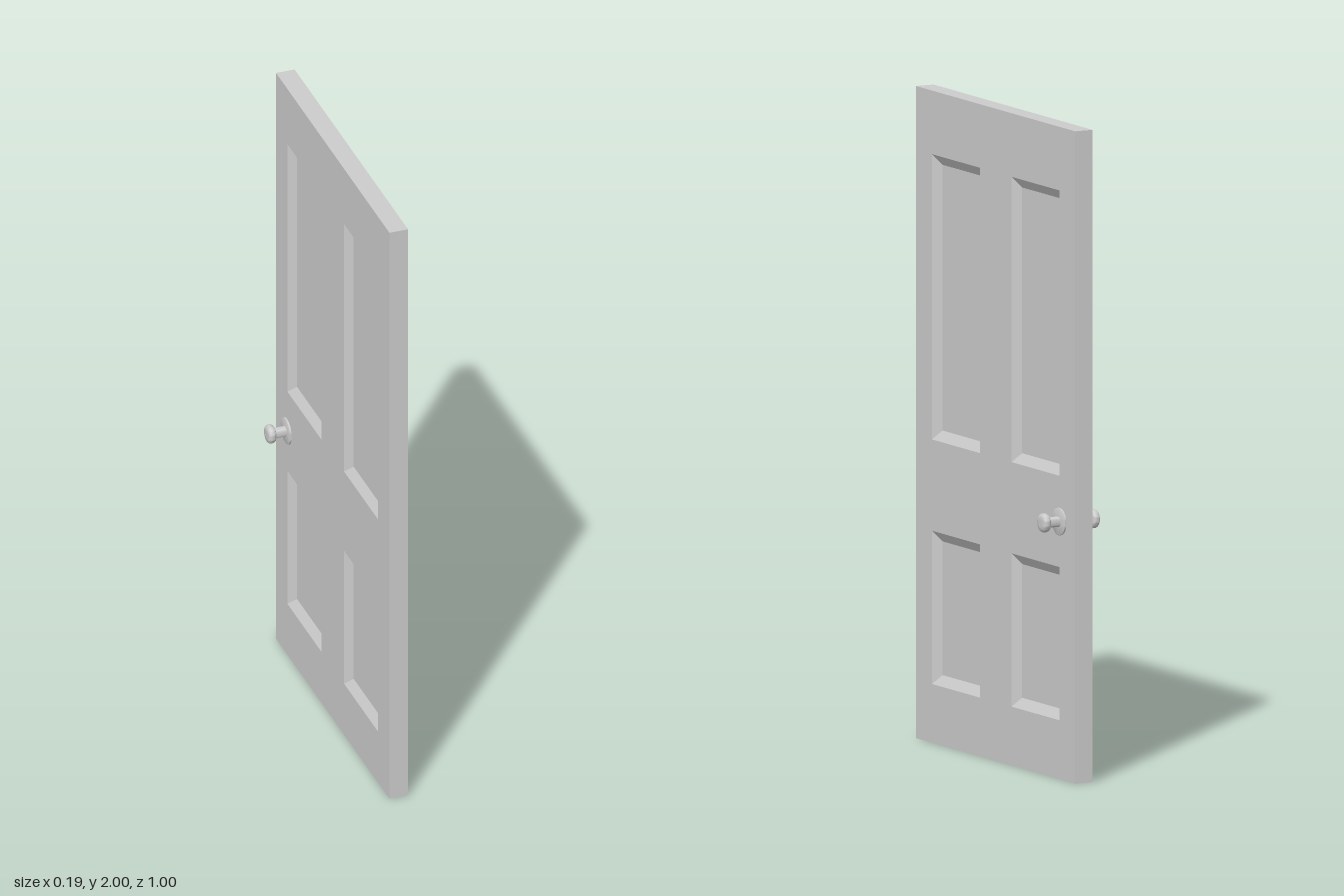
import * as THREE from 'three';
import { toCreasedNormals } from 'three/addons/utils/BufferGeometryUtils.js';

const material = new THREE.MeshStandardMaterial({ color: 0xcccccc });

const WIDTH = 1, HEIGHT = 2, HALF_THICK = 0.03;
const BEVEL = 0.03, RECESS = 0.02;
// Recessed panels: left, bottom, right, top
const PANELS = [];
for (const [x0, x1] of [[-0.4, -0.1], [0.1, 0.4]]) {
  for (const [y0, y1] of [[0.18, 0.65], [0.93, 1.805]]) PANELS.push([x0, y0, x1, y1]);
}

function mesh(name, geometry) {
  const m = new THREE.Mesh(geometry, material);
  m.name = name;
  return m;
}

const corners = ([x0, y0, x1, y1], z) => [[x0, y0, z], [x1, y0, z], [x1, y1, z], [x0, y1, z]];

// Flat-sided band between two rectangles, optionally closed by the second one
function rectBand(a, b, capped) {
  const v = [];
  const quad = (p, q, r, s) => v.push(...p, ...q, ...r, ...p, ...r, ...s);
  for (let i = 0; i < 4; i++) {
    const j = (i + 1) % 4;
    quad(a[i], a[j], b[j], b[i]);
  }
  if (capped) quad(...b);
  const g = new THREE.BufferGeometry();
  g.setAttribute('position', new THREE.Float32BufferAttribute(v, 3));
  g.computeVertexNormals();
  return g;
}

function rectPath(rect, PathType) {
  return new PathType(corners(rect, 0).map(([x, y]) => new THREE.Vector2(x, y)));
}

// Turned part whose axis points out of the door face
function turned(profile) {
  const g = new THREE.LatheGeometry(profile.map(([r, h]) => new THREE.Vector2(r, h)), 32);
  g.rotateX(Math.PI / 2);
  return toCreasedNormals(g, 0.7);
}

export function createModel() {
  const door = new THREE.Group();
  door.name = 'door';
  const outline = [-WIDTH / 2, 0, WIDTH / 2, HEIGHT];

  // Narrow edges around the leaf
  const edges = mesh('doorEdges', rectBand(corners(outline, -HALF_THICK), corners(outline, HALF_THICK), false));
  edges.rotation.y = Math.PI / 2;
  door.add(edges);

  // Face with openings for the panels
  const faceShape = rectPath(outline, THREE.Shape);
  for (const p of PANELS) faceShape.holes.push(rectPath(p, THREE.Path));
  const faceGeo = new THREE.ShapeGeometry(faceShape).translate(0, 0, HALF_THICK);

  // Handle parts, heights measured from the door face
  const rosetteGeo = turned([[0.042, 0], [0.042, 0.005], [0.04, 0.006], [0, 0.006]]);
  const stemGeo = turned([[0.016, 0.004], [0.016, 0.046]]);
  const knobGeo = turned([
    [0, 0.042], [0.022, 0.042], [0.026, 0.044], [0.029, 0.049],
    [0.029, 0.059], [0.027, 0.063], [0.023, 0.066], [0.012, 0.067], [0, 0.067],
  ]);

  for (const side of [1, -1]) {
    const half = new THREE.Group();
    half.name = side > 0 ? 'leftSide' : 'rightSide';
    half.rotation.y = side * Math.PI / 2;
    half.add(mesh('doorFace', faceGeo));

    // Sloped moulding and sunken field of each panel
    for (const p of PANELS) {
      const inner = [p[0] + BEVEL, p[1] + BEVEL, p[2] - BEVEL, p[3] - BEVEL];
      half.add(mesh('panel', rectBand(corners(p, HALF_THICK), corners(inner, HALF_THICK - RECESS), true)));
    }

    const handle = new THREE.Group();
    handle.name = 'handle';
    handle.position.set(side * 0.403, 0.79, HALF_THICK);
    handle.add(mesh('rosette', rosetteGeo), mesh('stem', stemGeo), mesh('knob', knobGeo));
    half.add(handle);
    door.add(half);
  }
  return door;
}
